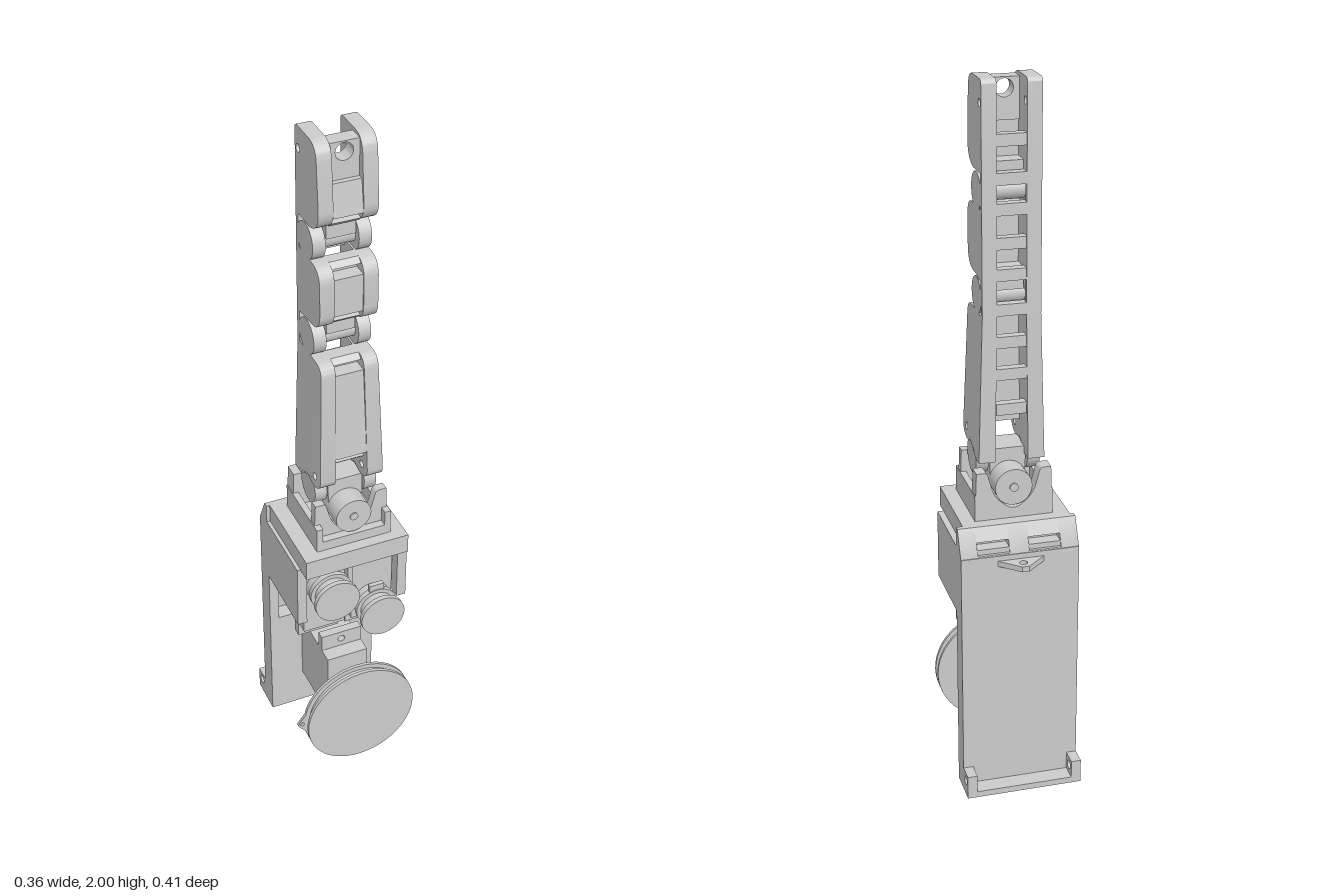
import * as THREE from 'three';
import { toCreasedNormals } from 'three/addons/utils/BufferGeometryUtils.js';

const grey = new THREE.MeshStandardMaterial({ color: 0xcccccc });
const CX = 0.01; // mid-plane of the finger

export function createModel() {
  const model = new THREE.Group();

  function add(name, geometry, parent = model) {
    const mesh = new THREE.Mesh(geometry, grey);
    mesh.name = name;
    parent.add(mesh);
    return mesh;
  }
  function group(name) {
    const g = new THREE.Group();
    g.name = name;
    model.add(g);
    return g;
  }
  // Box given by its limits
  function box(name, x0, x1, y0, y1, z0, z1, parent) {
    const g = new THREE.BoxGeometry(x1 - x0, y1 - y0, z1 - z0);
    g.translate((x0 + x1) / 2, (y0 + y1) / 2, (z0 + z1) / 2);
    return add(name, g, parent);
  }
  // Cylinder along z or x between two limits
  function rodZ(name, x, y, r, z0, z1, parent) {
    const g = new THREE.CylinderGeometry(r, r, z1 - z0, 48).rotateX(Math.PI / 2);
    return add(name, g.translate(x, y, (z0 + z1) / 2), parent);
  }
  function rodX(name, z, y, r, x0, x1, parent) {
    const g = new THREE.CylinderGeometry(r, r, x1 - x0, 40).rotateZ(Math.PI / 2);
    return add(name, g.translate((x0 + x1) / 2, y, z), parent);
  }
  // Polygon with optional corner radius per point [u, v, r], and round holes [u, v, r]
  function outline(points, holes = []) {
    const shape = new THREE.Shape();
    const n = points.length;
    points.forEach(([u, v, r = 0], i) => {
      const p = new THREE.Vector2(u, v);
      const toward = (q) => new THREE.Vector2(q[0], q[1]).sub(p).setLength(r).add(p);
      const a = r ? toward(points[(i + n - 1) % n]) : p;
      if (i) shape.lineTo(a.x, a.y); else shape.moveTo(a.x, a.y);
      if (r) {
        const b = toward(points[(i + 1) % n]);
        shape.quadraticCurveTo(u, v, b.x, b.y);
      }
    });
    for (const [u, v, r] of holes) shape.holes.push(new THREE.Path().absarc(u, v, r, 0, Math.PI * 2, true));
    return shape;
  }
  const extrude = (shape, depth) =>
    new THREE.ExtrudeGeometry(shape, { depth, bevelEnabled: false, curveSegments: 12 });
  // Profile in (z, y) swept across x0..x1
  function sideProfile(name, points, x0, x1, parent, holes, bend) {
    let g = extrude(outline(points, holes), x1 - x0).rotateY(-Math.PI / 2).translate(x1, 0, 0);
    if (bend) bend(g);
    return add(name, toCreasedNormals(g, 0.6), parent);
  }
  // Profile in (x, y) swept across z0..z1
  function frontProfile(name, points, z0, z1, parent, holes) {
    const g = extrude(outline(points, holes), z1 - z0).translate(0, 0, z0);
    return add(name, toCreasedNormals(g, 0.6), parent);
  }

  // Back plate with a shallow front pocket, and mounting lugs at its foot
  const housing = group('housing');
  box('backSheet', -0.155, 0.178, 0, 0.73, -0.155, -0.14, housing);
  const frame = outline([[-0.155, 0], [0.178, 0], [0.178, 0.73], [-0.155, 0.73]]);
  frame.holes.push(outline([[-0.127, 0.37], [-0.127, 0.71], [0.15, 0.71], [0.15, 0.37]]));
  add('backFrame', extrude(frame, 0.045).translate(0, 0, -0.14), housing);
  box('footLedge', -0.155, 0.178, 0, 0.018, -0.205, -0.155, housing);
  const lug = [[-0.205, 0], [-0.155, 0], [-0.155, 0.07], [-0.205, 0.07]];
  for (const x of [-0.155, 0.15]) sideProfile('footLug', lug, x, x + 0.028, housing, [[-0.18, 0.045, 0.013]]);
  frontProfile('tab', [[-0.055, -0.155], [0, -0.205], [0.02, -0.205], [0.075, -0.155]], 0, 0.016, housing,
    [[CX, -0.18, 0.011]]).geometry.rotateX(Math.PI / 2).translate(0, 0.715, 0);
  housing.children.at(-1).geometry.computeVertexNormals();

  // Servo bay: side walls, divider and roof
  for (const x of [-0.155, 0.15]) box('bayWall', x, x + 0.028, 0.545, 0.745, -0.12, 0.127, housing);
  box('bayDivider', -0.002, 0.013, 0.545, 0.745, -0.1, 0.127, housing);
  box('bayRoof', -0.155, 0.178, 0.73, 0.748, -0.142, 0.127, housing);

  // Cap, its rear slope notched by two slots
  box('cap', -0.145, 0.16, 0.745, 0.805, -0.1, 0.17, housing);
  const slope = [[-0.1, 0.72], [-0.1, 0.805], [-0.115, 0.805], [-0.155, 0.725], [-0.155, 0.72]];
  const slotted = [[-0.1, 0.72], [-0.1, 0.805], [-0.115, 0.805], [-0.134, 0.767], [-0.105, 0.767],
    [-0.105, 0.733], [-0.151, 0.733], [-0.155, 0.725], [-0.155, 0.72]];
  [-0.155, -0.105, -0.015, 0.04, 0.13, 0.178].forEach((x, i, xs) => {
    if (i < 5) sideProfile('capSlope', (i % 2 ? slotted : slope).slice().reverse(), x, xs[i + 1], housing);
  });

  // Servos
  function servo(name, x, y0, y1, hubY) {
    const g = group(name);
    box('servoBody', x - 0.0625, x + 0.0625, y0, y1, -0.1, 0.104, g);
    for (const y of [y0 - 0.052, y1]) {
      if (y > 0.7) continue;
      frontProfile('servoEar', [[x - 0.0625, y], [x + 0.0625, y], [x + 0.0625, y + 0.052], [x - 0.0625, y + 0.052]],
        0.035, 0.06, g, [[x, y + 0.026, 0.011]]);
    }
    box('cableExit', x - 0.03, x + 0.03, y0 - 0.052, y0, -0.085, -0.07, g);
    rodZ('gearTower', x, hubY, 0.055, 0.1, 0.13, g);
    return g;
  }
  function spool(g, x, y, layers) {
    layers.forEach(([r, z0, z1]) => rodZ('spool', x, y, r, z0, z1, g));
  }
  const small = [[0.062, 0.13, 0.145], [0.05, 0.145, 0.176], [0.066, 0.176, 0.19]];
  const right = servo('rightServo', -0.065, 0.487, 0.73, 0.65);
  spool(right, -0.06, 0.65, small);
  box('spoolCatch', -0.082, -0.038, 0.572, 0.6, 0.13, 0.143, right);
  const left = servo('leftServo', 0.081, 0.487, 0.73, 0.545);
  spool(left, 0.08, 0.545, small);
  box('spoolCatch', 0.058, 0.102, 0.595, 0.625, 0.13, 0.143, left);
  const lower = servo('lowerServo', 0.008, 0.12, 0.345, 0.19);
  spool(lower, 0.009, 0.192, [[0.07, 0.1, 0.148], [0.03, 0.14, 0.17],
    [0.167, 0.166, 0.175], [0.153, 0.175, 0.195], [0.167, 0.195, 0.205]]);
  frontProfile('spoolCatch', [[-0.18, 0.19, 0.006], [-0.14, 0.14], [-0.14, 0.245]], 0.166, 0.175, lower,
    [[-0.165, 0.191, 0.006]]);

  // Knuckle bracket with notched front and back plates
  const knuckle = group('knuckle');
  box('bracketFloor', -0.1, 0.12, 0.805, 0.835, -0.08, 0.138, knuckle);
  for (const x of [-0.1, 0.102]) box('bracketSide', x, x + 0.018, 0.805, 0.88, -0.08, 0.138, knuckle);
  const notched = [[-0.1, 0.805], [0.12, 0.805], [0.115, 0.945], [0.085, 0.945, 0.01], [0.065, 0.87, 0.03],
    [CX, 0.825, 0.03], [-0.045, 0.87, 0.03], [-0.065, 0.945, 0.01], [-0.095, 0.945]];
  frontProfile('bracketPlate', notched, 0.09, 0.115, knuckle);
  frontProfile('bracketPlate', notched, -0.08, -0.038, knuckle);
  rodZ('swivelBarrel', CX, 0.895, 0.052, -0.08, 0.135, knuckle);
  rodZ('swivelPin', CX, 0.895, 0.012, -0.084, 0.138, knuckle);
  box('knuckleBlock', -0.04, 0.06, 0.9, 0.985, -0.015, 0.075, knuckle);

  // Finger joints: two wheels on an axle
  function joint(y, z, half) {
    const g = group('joint');
    rodX('axle', z, y, 0.028, CX - half, CX + half, g);
    for (const s of [-1, 1]) {
      const inner = CX + s * (half - 0.035), outer = CX + s * half;
      rodX('jointWheel', z, y, 0.05, Math.min(inner, outer), Math.max(inner, outer), g);
    }
    return g;
  }
  joint(0.955, 0.03, 0.09);
  joint(1.425, 0.004, 0.08);
  joint(1.706, 0, 0.08);

  // Finger segments: two cheeks, and a front shell notched by tendon slots
  function segment(name, profile, y0, y1, zLow, zHigh, holes, bend) {
    const g = group(name);
    sideProfile('cheek', profile, -0.07, -0.03, g, holes, bend);
    sideProfile('cheek', profile, 0.05, 0.09, g, holes, bend);
    const shell = [[0.025, y0], [zLow - 0.035, y0], [zLow - 0.02, y0 + 0.014], [zLow - 0.045, y0 + 0.018],
      [zLow - 0.045, y0 + 0.036], [zLow - 0.004, y0 + 0.036], [zHigh - 0.004, y1 - 0.036],
      [zHigh - 0.045, y1 - 0.036], [zHigh - 0.045, y1 - 0.018], [zHigh - 0.02, y1 - 0.014],
      [zHigh - 0.035, y1], [0.025, y1]];
    sideProfile('frontShell', shell, -0.03, 0.05, g, [], bend);
    return g;
  }
  const widen = (g) => {
    const p = g.attributes.position;
    for (let i = 0; i < p.count; i++) {
      const k = 1 + 0.15 * THREE.MathUtils.clamp((1.37 - p.getY(i)) / 0.37, 0, 1);
      p.setX(i, CX + (p.getX(i) - CX) * k);
    }
  };
  segment('proximalSegment', [[-0.058, 0.965], [-0.02, 0.965], [0.03, 0.995], [0.075, 0.985], [0.12, 1.0, 0.03],
    [0.1, 1.38, 0.035], [-0.03, 1.38], [-0.058, 1.38]], 1.05, 1.38, 0.118, 0.1, [[0.08, 1.022, 0.011]], widen);
  segment('middleSegment', [[-0.058, 1.47], [0, 1.48], [0.093, 1.485, 0.055], [0.093, 1.665, 0.05], [0, 1.665],
    [-0.058, 1.665]], 1.485, 1.665, 0.093, 0.093, []);
  const tip = segment('distalSegment', [[-0.058, 1.76], [0.03, 1.76, 0.01], [0.09, 1.775, 0.055], [0.072, 2, 0.045],
    [-0.058, 2, 0.014]], 1.765, 1.925, 0.09, 0.076, [[-0.04, 1.94, 0.011]]);
  frontProfile('tipShell', [[-0.03, 1.88], [0.05, 1.88], [0.05, 1.99], [-0.03, 1.99]], 0.015, 0.058, tip,
    [[CX, 1.962, 0.024]]);

  // Tongues reaching from each segment down to the joint below
  box('tongue', -0.03, 0.05, 1.44, 1.5, -0.025, 0.04);
  box('tongue', -0.03, 0.05, 1.72, 1.785, -0.025, 0.04);

  // Flexible back strip with ladder rungs
  const strip = group('backStrip');
  for (const x of [-0.07, 0.05]) box('stripRail', x, x + 0.04, 1.37, 1.77, -0.058, -0.043, strip);
  for (const y of [1.115, 1.215, 1.305, 1.395, 1.49, 1.575, 1.665, 1.745, 1.845])
    box('rung', -0.032, 0.052, y - 0.016, y + 0.016, -0.056, -0.03, strip);

  return model;
}
